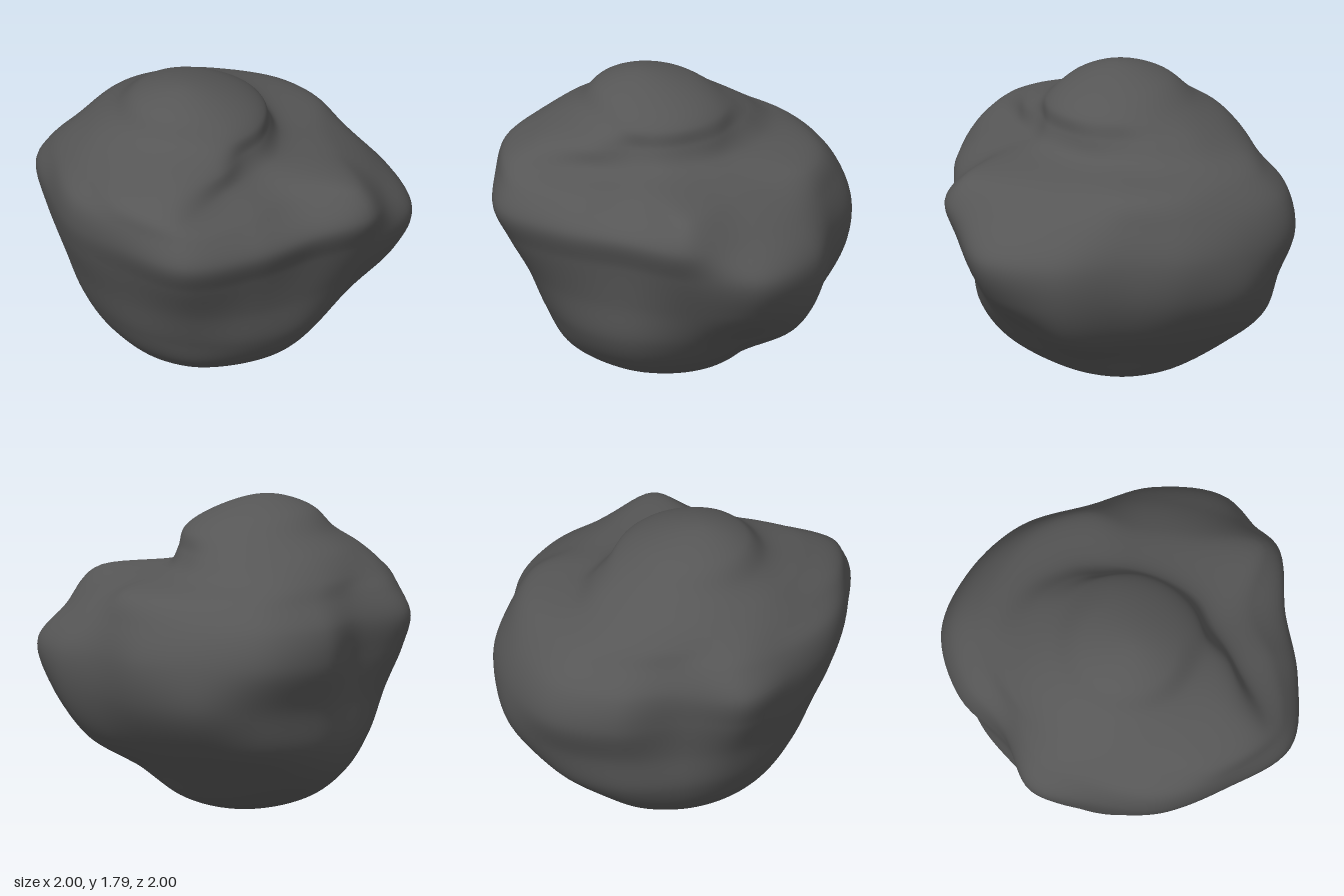
import * as THREE from 'three';

// Cross-sections of the boulder: height, centre x, and radii spaced evenly
// around the circle from +x towards +z. A single radius makes a round section.
const SECTIONS = [
  { y: 0.08, cx: -0.06, r: [0.37] },
  { y: 0.25, cx: 0, r: [0.51, 0.58, 0.67, 0.68, 0.63, 0.63, 0.66, 0.57] },
  { y: 0.45, cx: 0, r: [0.77, 0.87, 0.79, 0.79, 0.81, 0.81, 0.79, 0.77, 0.75, 0.75, 0.75, 0.76, 0.82, 0.85, 0.83, 0.78] },
  { y: 0.7, cx: 0, r: [0.91, 1.03, 1.05, 0.91, 0.85, 0.87, 0.9, 0.86, 0.85, 0.84, 0.83, 0.78, 0.87, 0.95, 1.0, 0.95] },
  { y: 0.95, cx: 0, r: [0.94, 1.06, 1.15, 1.02, 0.9, 0.95, 1.04, 0.96, 0.95, 0.92, 0.94, 0.82, 0.95, 1.04, 1.02, 0.99] },
  { y: 1.15, cx: 0, r: [0.88, 0.91, 0.97, 1.08, 0.95, 1.01, 1.13, 1.03, 1.0, 0.95, 0.99, 0.83, 0.92, 0.99, 0.95, 0.92] },
  { y: 1.3, cx: 0, r: [0.78, 0.68, 0.74, 0.97, 0.76, 0.88, 1.07, 1.02, 0.98, 0.91, 0.9, 0.77, 0.79, 0.84, 0.81, 0.81] },
  { y: 1.4, cx: -0.1, r: [0.52, 0.48, 0.48, 0.51, 0.52, 0.64, 0.92, 0.88, 0.78, 0.74, 0.74, 0.69, 0.7, 0.72, 0.68, 0.6] },
  { y: 1.5, cx: -0.13, r: [0.46, 0.44, 0.46, 0.72, 0.61, 0.59, 0.59, 0.57] },
  { y: 1.6, cx: -0.15, r: [0.43] },
  { y: 1.72, cx: -0.19, r: [0.27] },
];
const SIDES = 16;
const AROUND = 128;
const UP = 110;

// Point on a section, blending between its neighbouring radii
function sectionPoint({ y, cx, r }, i) {
  const a = (i / SIDES) * Math.PI * 2;
  const k = (i / SIDES) * r.length;
  const n = Math.floor(k);
  const radius = THREE.MathUtils.lerp(r[n], r[(n + 1) % r.length], k - n);
  return new THREE.Vector3(cx + radius * Math.cos(a), y, radius * Math.sin(a));
}

// Closed curve up one side of the boulder and down the opposite one
function meridian(i) {
  const up = SECTIONS.map((s) => sectionPoint(s, i));
  const down = SECTIONS.map((s) => sectionPoint(s, (i + SIDES / 2) % SIDES)).reverse();
  const bottom = new THREE.Vector3(-0.06, 0, 0);
  const top = new THREE.Vector3(-0.22, 1.79, 0.02);
  return new THREE.CatmullRomCurve3([bottom, ...up, top, ...down], true);
}

function boulderGeometry() {
  const meridians = Array.from({ length: SIDES }, (_, i) => meridian(i));
  const positions = [];
  const indices = [];
  for (let v = 0; v <= UP; v++) {
    const ring = meridians.map((m) => m.getPoint((0.5 * v) / UP));
    const pole = v === 0 || v === UP;
    const loop = pole ? null : new THREE.CatmullRomCurve3(ring, true, 'catmullrom', 0.5);
    for (let u = 0; u < AROUND; u++) {
      const p = pole ? ring[0] : loop.getPoint(u / AROUND);
      positions.push(p.x, p.y, p.z);
      if (v === UP) continue;
      const a = v * AROUND + u;
      const b = v * AROUND + ((u + 1) % AROUND);
      if (v < UP - 1) indices.push(a, a + AROUND, b + AROUND);
      if (v > 0) indices.push(a, b + AROUND, b);
      if (v === UP - 1) indices.push(a, a + AROUND, b);
    }
  }
  const geometry = new THREE.BufferGeometry();
  geometry.setAttribute('position', new THREE.Float32BufferAttribute(positions, 3));
  geometry.setIndex(indices);
  geometry.computeVertexNormals();
  return geometry;
}

export function createModel() {
  const stone = new THREE.MeshStandardMaterial({ color: 0x565656 });
  stone.name = 'dark grey stone';

  const boulder = new THREE.Mesh(boulderGeometry(), stone);
  boulder.name = 'boulder';

  const group = new THREE.Group();
  group.name = 'rock';
  group.add(boulder);
  return group;
}
